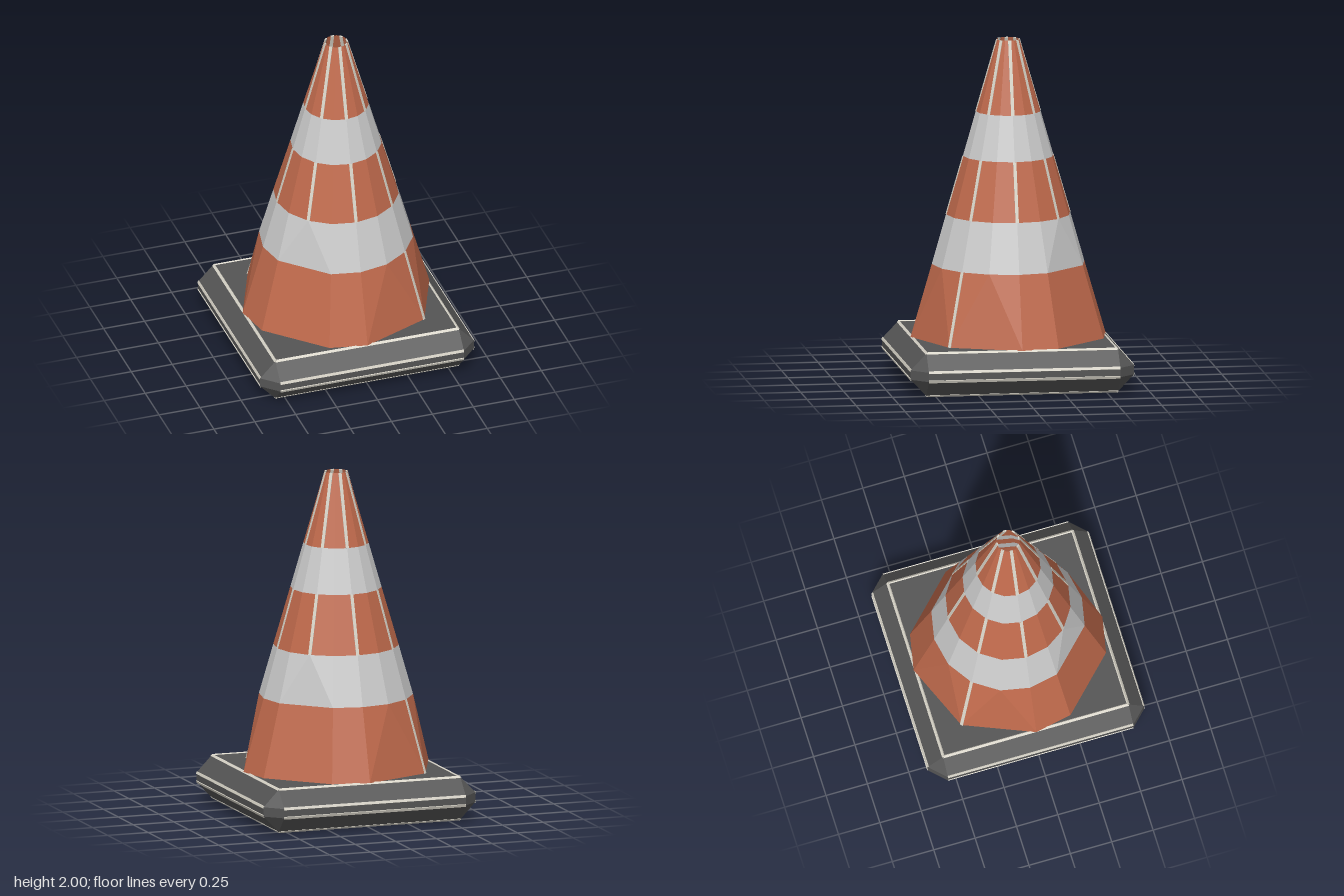
import * as THREE from 'three';
import { ConvexGeometry } from 'three/addons/geometries/ConvexGeometry.js';

const SIDES = 16;
const mat = (color) => new THREE.MeshStandardMaterial({ color, flatShading: true, side: THREE.DoubleSide });

// Cone rings from bottom to top; a skipped corner merges with the one before it
const RINGS = [
  { y: 0.265, r: 0.57, skip: [1, 3, 6, 9, 11, 14] },
  { y: 0.69, r: 0.446, skip: [6, 14] },
  { y: 0.98, r: 0.363, skip: [] },
  { y: 1.32, r: 0.264, skip: [] },
  { y: 1.58, r: 0.189, skip: [] },
  { y: 2, r: 0.067, skip: [] },
];

function corner(ring, i) {
  let k = i % SIDES;
  if (ring.skip.includes(k)) k -= 1;
  const a = (k / SIDES) * Math.PI * 2;
  return new THREE.Vector3(Math.cos(a) * ring.r, ring.y, Math.sin(a) * ring.r);
}

// Faceted open band between two rings
function bandGeometry(low, high) {
  const points = [];
  const tri = (a, b, c) => {
    if (!a.equals(b) && !b.equals(c) && !a.equals(c)) points.push(a, b, c);
  };
  for (let i = 0; i < SIDES; i++) {
    const b0 = corner(low, i), b1 = corner(low, i + 1);
    const t0 = corner(high, i), t1 = corner(high, i + 1);
    tri(b0, t0, b1);
    tri(t0, t1, b1);
  }
  const geometry = new THREE.BufferGeometry().setFromPoints(points);
  geometry.computeVertexNormals();
  return geometry;
}

// Thin flat strip laid along an edge, facing outward
function edgeStrip(name, from, to, outward, width, material) {
  const along = to.clone().sub(from);
  const length = along.length();
  along.normalize();
  const across = along.clone().cross(outward).normalize();
  const normal = across.clone().cross(along);
  const mesh = new THREE.Mesh(new THREE.BoxGeometry(width, length, 0.008), material);
  mesh.name = name;
  mesh.quaternion.setFromRotationMatrix(new THREE.Matrix4().makeBasis(across, along, normal));
  mesh.position.copy(from).add(to).multiplyScalar(0.5).addScaledVector(normal, -0.0025);
  return mesh;
}

export function createModel() {
  const model = new THREE.Group();
  model.name = 'trafficCone';
  const orange = mat(0xc06a4c), white = mat(0xcccccc), trim = mat(0xd8d4c8), rubber = mat(0x555555);

  // Bevelled square base with a very shallow point underneath
  const IN = 0.56, OUT = 0.653;
  const points = [new THREE.Vector3(0, 0, 0)];
  for (const sx of [-1, 1]) {
    for (const sz of [-1, 1]) {
      for (const y of [0.012, 0.262]) points.push(new THREE.Vector3(sx * IN, y, sz * IN));
      for (const y of [0.11, 0.165]) {
        points.push(new THREE.Vector3(sx * OUT, y, sz * IN), new THREE.Vector3(sx * IN, y, sz * OUT));
      }
    }
  }
  const base = new THREE.Mesh(new ConvexGeometry(points), rubber);
  base.name = 'base';
  model.add(base);

  // Light trim on the four long edges of each side of the base
  const baseTrim = new THREE.Group();
  baseTrim.name = 'baseTrim';
  const edges = [[0.262, IN, 1], [0.165, OUT, 0.41], [0.11, OUT, -0.41], [0.012, IN, -1]];
  for (let side = 0; side < 4; side++) {
    const panel = new THREE.Group();
    panel.name = 'baseSideTrim';
    for (const [y, z, up] of edges) {
      panel.add(edgeStrip('baseEdgeStrip', new THREE.Vector3(-IN, y, z), new THREE.Vector3(IN, y, z),
        new THREE.Vector3(0, up, 1), 0.016, trim));
    }
    panel.rotation.y = side * Math.PI / 2;
    baseTrim.add(panel);
  }
  model.add(baseTrim);

  // Cone body: alternating orange and reflective bands
  for (let i = 0; i < RINGS.length - 1; i++) {
    const isOrange = i % 2 === 0;
    const band = new THREE.Mesh(bandGeometry(RINGS[i], RINGS[i + 1]), isOrange ? orange : white);
    band.name = isOrange ? 'coneBand' : 'reflectiveBand';
    model.add(band);
  }

  // Light ridge strips on the orange bands; the lowest band has only two
  const ridges = new THREE.Group();
  ridges.name = 'ridgeStrips';
  for (const band of [0, 2, 4]) {
    for (const i of band === 0 ? [2, 10] : [0, 2, 4, 6, 8, 10, 12, 14]) {
      const from = corner(RINGS[band], i), to = corner(RINGS[band + 1], i);
      const outward = new THREE.Vector3(from.x, 0, from.z).normalize();
      ridges.add(edgeStrip('ridgeStrip', from, to, outward, 0.019, trim));
    }
  }
  model.add(ridges);

  return model;
}
